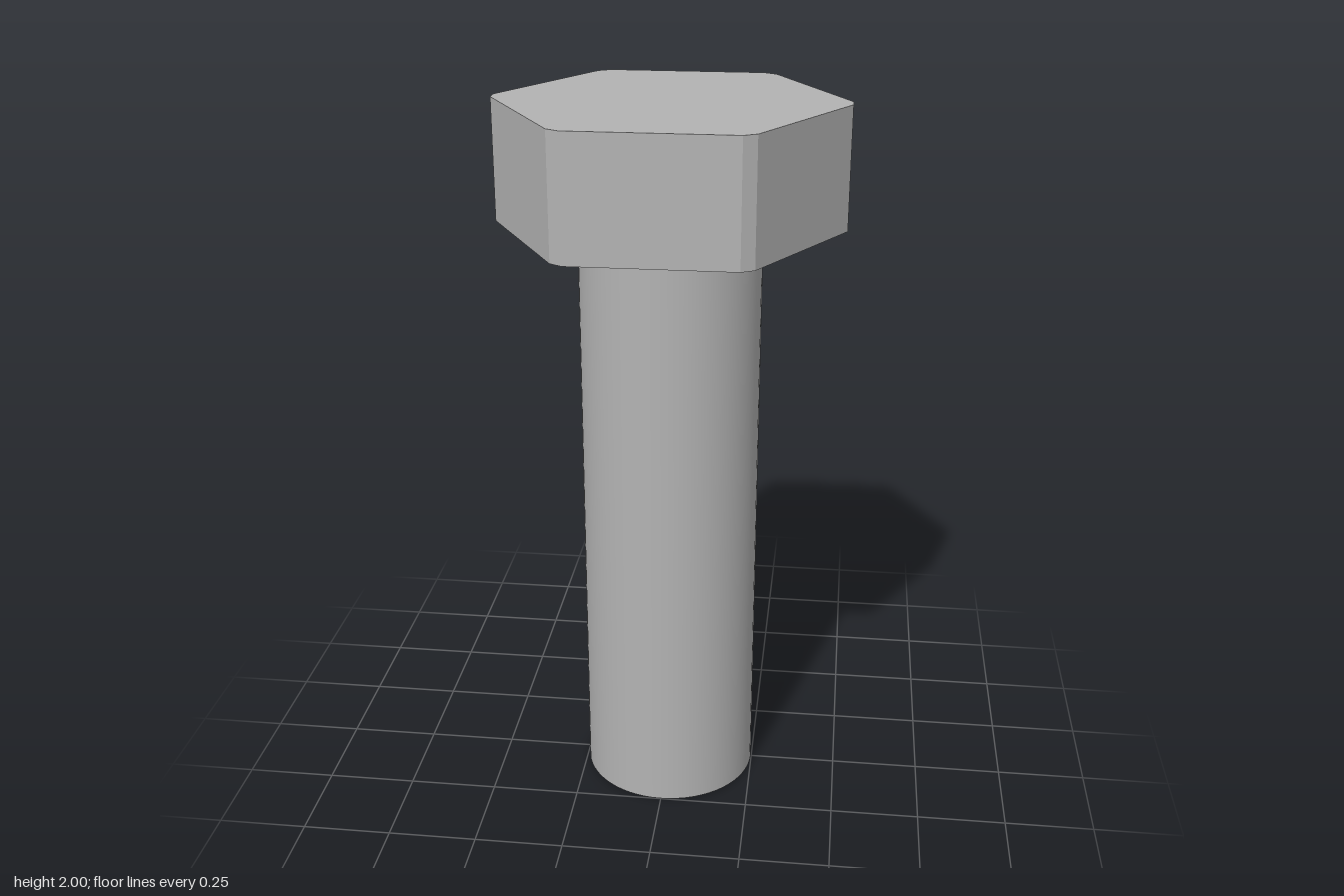
import * as THREE from 'three';

const SHAFT_RADIUS = 0.248;
const HEAD_RADIUS = 0.47;
const HEAD_BOTTOM = 1.67;
const TOP = 2;

// Hexagon with each corner cut by a narrow flat
function headShape() {
  const points = [];
  const halfCut = THREE.MathUtils.degToRad(2.4);
  for (let i = 0; i < 6; i++) {
    for (const side of [-1, 1]) {
      const a = (i * Math.PI) / 3 + side * halfCut;
      points.push(new THREE.Vector2(Math.cos(a) * HEAD_RADIUS, Math.sin(a) * HEAD_RADIUS));
    }
  }
  return new THREE.Shape(points);
}

export function createModel() {
  const group = new THREE.Group();
  group.name = 'hexBolt';

  const steel = new THREE.MeshStandardMaterial({ color: 0xb3b3b3 });
  steel.name = 'steel grey';

  // Smooth round shaft standing on the ground
  const shaft = new THREE.Mesh(
    new THREE.CylinderGeometry(SHAFT_RADIUS, SHAFT_RADIUS, HEAD_BOTTOM, 64),
    steel
  );
  shaft.name = 'shaft';
  shaft.position.y = HEAD_BOTTOM / 2;
  group.add(shaft);

  // Flat-sided head, extruded upward
  const headGeometry = new THREE.ExtrudeGeometry(headShape(), {
    depth: TOP - HEAD_BOTTOM,
    bevelEnabled: false,
  });
  headGeometry.rotateX(-Math.PI / 2);
  const head = new THREE.Mesh(headGeometry, steel);
  head.name = 'head';
  head.position.y = HEAD_BOTTOM;
  group.add(head);

  return group;
}
